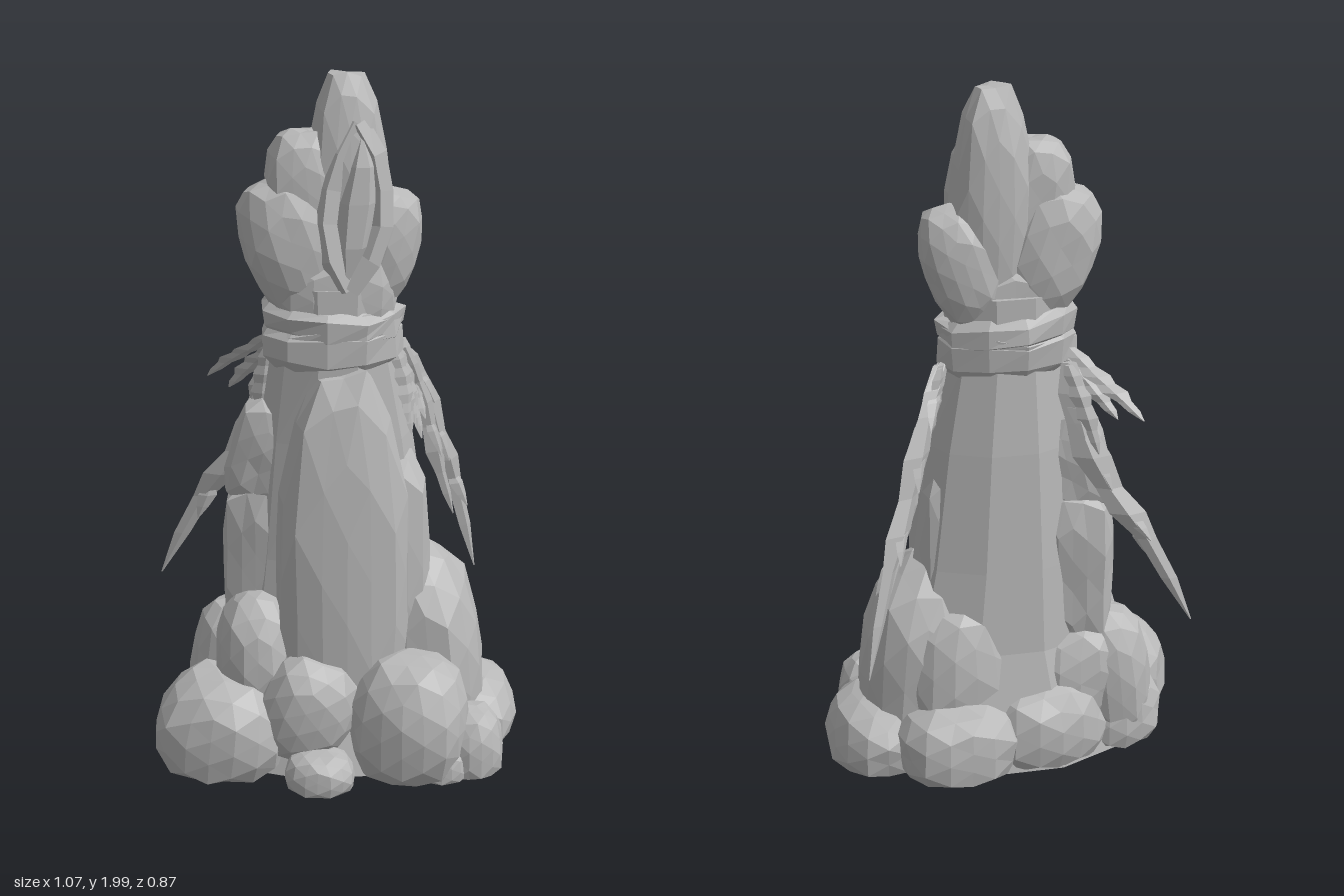
import * as THREE from 'three';

const YAW = 0.3; // the broad faces of the pillar and crown are turned a little to +x

export function createModel() {
  const model = new THREE.Group();
  const stone = new THREE.MeshStandardMaterial({ color: 0xb8b8b8, flatShading: true });
  stone.name = 'greyStone';
  const hash = (a, b, c) => {
    const s = Math.sin(a * 127.1 + b * 311.7 + c * 74.7) * 43758.5453;
    return s - Math.floor(s);
  };
  const add = (name, geo, parent = model) => {
    const mesh = new THREE.Mesh(geo, stone);
    mesh.name = name;
    parent.add(mesh);
    return mesh;
  };
  const group = (name) => {
    const g = new THREE.Group();
    g.name = name;
    model.add(g);
    return g;
  };

  // Faceted boulder: a squared-off ellipsoid (higher power = boxier), slightly chipped, flattened on the ground
  function rock(name, parent, [x, y, z], [rx, ry, rz], { tilt = 0, yaw = 0, power = 2.8, taper = 0 } = {}) {
    const geo = new THREE.IcosahedronGeometry(1, 2);
    const p = geo.attributes.position;
    const v = new THREE.Vector3();
    const turn = new THREE.Euler(0, yaw, tilt, 'YXZ');
    for (let i = 0; i < p.count; i++) {
      v.fromBufferAttribute(p, i);
      const k = [v.x, v.y, v.z].map((t) => Math.round(t * 50));
      const chip = 1.03 - 0.08 * hash(k[0] + x * 9, k[1] + y * 7, k[2] + z * 5);
      const sum = Math.abs(v.x) ** power + Math.abs(v.y) ** power + Math.abs(v.z) ** power;
      v.multiplyScalar(chip * sum ** (-1 / power));
      const w = 1 - taper * Math.max(0, v.y) ** 2;
      v.set(v.x * rx * w, v.y * ry, v.z * rz * w).applyEuler(turn);
      p.setXYZ(i, v.x + x, Math.max(0, v.y + y), v.z + z);
    }
    geo.computeVertexNormals();
    return add(name, geo, parent);
  }

  // Skin over horizontal rings [x, y, z, rx, rz], listed from bottom to top
  function loft(rings, sides, { yaw = 0, rough = 0 } = {}) {
    const pos = [], index = [];
    rings.forEach(([x, y, z, rx, rz], r) => {
      for (let i = 0; i < sides; i++) {
        const a = (i / sides) * Math.PI * 2;
        const k = 1 + rough * (hash(i, r, y) - 0.5);
        const dx = Math.cos(a) * rx * k, dz = Math.sin(a) * rz * k;
        pos.push(x + dx * Math.cos(yaw) + dz * Math.sin(yaw), y + rough * 0.2 * (hash(r, i, x) - 0.5),
          z - dx * Math.sin(yaw) + dz * Math.cos(yaw));
      }
    });
    for (let r = 0; r < rings.length - 1; r++) {
      for (let i = 0; i < sides; i++) {
        const a = r * sides + i, b = r * sides + (i + 1) % sides, c = a + sides, d = b + sides;
        index.push(a, c, b, b, c, d);
      }
    }
    const top = (rings.length - 1) * sides;
    for (let i = 1; i < sides - 1; i++) index.push(0, i, i + 1, top, top + i + 1, top + i);
    const geo = new THREE.BufferGeometry();
    geo.setAttribute('position', new THREE.Float32BufferAttribute(pos, 3));
    geo.setIndex(index);
    const flat = geo.toNonIndexed();
    flat.computeVertexNormals();
    return flat;
  }

  // Tapered body behind the front pillar, spreading into the foot
  add('pillarCore', loft([
    [0.03, 0, 0.03, 0.42, 0.28], [0.03, 0.12, 0.02, 0.39, 0.25], [0.03, 0.35, 0, 0.31, 0.18], [0.02, 0.6, 0.005, 0.265, 0.165],
    [0.015, 0.95, 0.015, 0.22, 0.15], [0.01, 1.2, 0.03, 0.175, 0.135], [0.01, 1.4, 0.03, 0.18, 0.13],
  ], 10, { yaw: YAW }));

  // Upright stones leaning on the body
  const columns = group('standingStones');
  rock('frontPillar', columns, [0.055, 0.58, 0.125], [0.188, 0.6, 0.14], { yaw: YAW, power: 3.4, taper: 0.28 });
  rock('sidePillar', columns, [0.165, 0.48, 0.01], [0.115, 0.43, 0.145], { yaw: YAW, power: 4 });
  rock('upperLeftStone', columns, [-0.175, 0.88, 0.045], [0.11, 0.17, 0.1], { tilt: -0.25, power: 3.4 });
  rock('lowerLeftStone', columns, [-0.19, 0.56, 0.04], [0.11, 0.25, 0.12], { power: 5 });

  // Boulders heaped around the foot: centre, radii, tilt
  const base = group('boulders');
  [
    [[-0.265, 0.11, 0.25], [0.192, 0.18, 0.192], -0.1],
    [[0.265, 0.15, 0.195], [0.17, 0.21, 0.17], 0],
    [[-0.025, 0.19, 0.24], [0.14, 0.17, 0.13], -0.35],
    [[0.035, 0.03, 0.35], [0.1, 0.08, 0.09], 0],
    [[0.43, 0.06, 0.14], [0.1, 0.13, 0.11], 0],
    [[0.365, 0.07, -0.1], [0.167, 0.135, 0.2], 0],
    [[0.27, 0.25, -0.045], [0.172, 0.36, 0.2], 0.08],
    [[-0.19, 0.3, 0.17], [0.113, 0.205, 0.145], 0],
    [[-0.295, 0.2, 0.04], [0.117, 0.235, 0.13], -0.1],
    [[-0.3, 0.08, 0.07], [0.14, 0.14, 0.15], 0],
    [[0.14, 0.08, -0.18], [0.19, 0.15, 0.167], 0],
    [[0.13, 0.25, -0.11], [0.18, 0.25, 0.13], 0],
    [[-0.1, 0.09, -0.07], [0.19, 0.17, 0.155], 0],
    [[-0.21, 0.24, 0.01], [0.17, 0.17, 0.13], 0],
    [[0.36, 0.03, 0.21], [0.08, 0.08, 0.08], 0],
  ].forEach(([c, r, tilt], i) => rock('boulder' + (i + 1), base, c, r, { tilt, yaw: i * 0.04, power: 2.5 }));

  // Crown of budding lobes
  const crown = group('crown');
  rock('crownHeart', crown, [0.01, 1.37, 0.035], [0.18, 0.14, 0.12], { yaw: YAW });
  rock('leftLobe', crown, [-0.1, 1.5, 0.06], [0.135, 0.205, 0.12], { tilt: 0.32, yaw: YAW, power: 2.7 });
  rock('rightLobe', crown, [0.13, 1.475, -0.025], [0.105, 0.185, 0.105], { tilt: -0.32, yaw: YAW, power: 2.7 });
  rock('tallLobe', crown, [0.05, 1.63, 0.008], [0.118, 0.37, 0.102], { tilt: 0.02, yaw: YAW, power: 2.9, taper: 0.3 });
  rock('shoulderLobe', crown, [-0.06, 1.63, 0.05], [0.11, 0.2, 0.09], { tilt: 0.1, yaw: YAW, power: 3 });

  // Leaf-shaped bud with a thick rim sunk into the front of the tall lobe
  const bud = group('bud');
  add('budCentre', loft([
    [0.07, 1.42, 0.14, 0.005, 0.005], [0.08, 1.52, 0.11, 0.045, 0.04], [0.09, 1.64, 0.09, 0.055, 0.045],
    [0.1, 1.74, 0.08, 0.038, 0.035], [0.1, 1.82, 0.075, 0.004, 0.004],
  ], 6, { yaw: YAW }), bud);
  for (const side of [-1, 1]) {
    const path = new THREE.CatmullRomCurve3([[0.07, 1.4, 0.12, 0], [0.08, 1.52, 0.105, 0.065],
      [0.08, 1.64, 0.08, 0.07], [0.085, 1.75, 0.065, 0.05], [0.08, 1.85, 0.05, 0]]
      .map(([x, y, z, w]) => new THREE.Vector3(x + side * w, y, z - side * w * 0.35)));
    add(side < 0 ? 'budRimLeft' : 'budRimRight', new THREE.TubeGeometry(path, 5, 0.036, 5), bud);
  }

  // Cloth wrapped around the neck in slanting bands
  const wrap = group('neckWrap');
  [[1.165, 0.13, 0.0], [1.225, 0.08, 0.16], [1.245, 0.1, -0.08]].forEach(([y, h, slant], i) => {
    const rings = [[0, 0.17, 0.125], [0.2, 0.2, 0.148], [0.75, 0.204, 0.15], [1, 0.175, 0.13]]
      .map(([t, rx, rz]) => [0.008, y + t * h, 0.03, rx, rz]);
    const geo = loft(rings, 11, { yaw: YAW, rough: 0.1 });
    const p = geo.attributes.position;
    for (let k = 0; k < p.count; k++) p.setY(k, p.getY(k) + p.getX(k) * slant);
    geo.computeVertexNormals();
    add('clothBand' + (i + 1), geo, wrap);
  });

  // Tattered strand: a tapering strip along a falling path, with torn barbs
  function strand(name, parent, points, width, barbs = 0) {
    const curve = new THREE.CatmullRomCurve3(points.map((p) => new THREE.Vector3(...p)));
    const strip = (at, w, n) => {
      const rings = [];
      for (let i = n; i >= 0; i--) {
        const t = i / n, p = at(t);
        const s = w * (0.5 + 0.5 * Math.sin(t * 2.6)) * (1 - t ** 4) * (i % 2 ? 1.2 : 0.8) + 0.002;
        rings.push([p.x, p.y, p.z, s, s * 0.4]);
      }
      return loft(rings, 4, { yaw: points[0][0] > 0 ? 0.95 : 0.2 });
    };
    add(name, strip((t) => curve.getPoint(t), width, 8), parent);
    for (let b = 0; b < barbs; b++) {
      const t = 0.12 + 0.68 * b / barbs;
      const start = curve.getPoint(t), side = b % 2 ? 1 : -1;
      const end = start.clone().addScaledVector(curve.getTangent(t), 0.11)
        .add(new THREE.Vector3(side * 0.025, -0.02, side * 0.015));
      add(name + 'Barb' + (b + 1), strip((u) => start.clone().lerp(end, u), width * 0.5, 3), parent);
    }
  }

  // Two long tails blown backwards and the short fringe by each knot
  const rags = group('rags');
  strand('rightTail', rags, [[0.18, 1.2, -0.06], [0.22, 1.08, -0.16], [0.265, 0.87, -0.25], [0.31, 0.68, -0.34], [0.36, 0.39, -0.43]], 0.05, 6);
  strand('rightTailInner', rags, [[0.2, 1.19, -0.05], [0.235, 1.02, -0.15], [0.27, 0.8, -0.23], [0.31, 0.6, -0.31]], 0.035, 2);
  strand('leftTail', rags, [[-0.17, 1.2, -0.03], [-0.2, 1.03, -0.06], [-0.29, 0.84, -0.07], [-0.4, 0.69, -0.08], [-0.53, 0.44, -0.08]], 0.05, 6);
  strand('leftShortTail', rags, [[-0.17, 1.23, 0.01], [-0.24, 1.17, -0.03], [-0.31, 1.12, -0.07], [-0.385, 1.055, -0.1]], 0.035);
  strand('leftShortTailLower', rags, [[-0.16, 1.2, 0.02], [-0.23, 1.13, -0.02], [-0.31, 1.04, -0.05]], 0.035);
  for (let i = 0; i < 6; i++) {
    const z = 0.02 - i * 0.025, drop = 0.18 + 0.13 * hash(i, 2, 3);
    strand('rightFringe' + (i + 1), rags, [[0.185, 1.2, z], [0.21, 1.2 - drop * 0.5, z - 0.02], [0.225 + i * 0.006, 1.2 - drop, z]], 0.028);
    strand('leftFringe' + (i + 1), rags, [[-0.17, 1.2, z + 0.05], [-0.185 - i * 0.006, 1.2 - drop * 0.5, z + 0.04], [-0.2 - i * 0.012, 1.18 - drop, z + 0.03]], 0.028);
  }
  return model;
}
